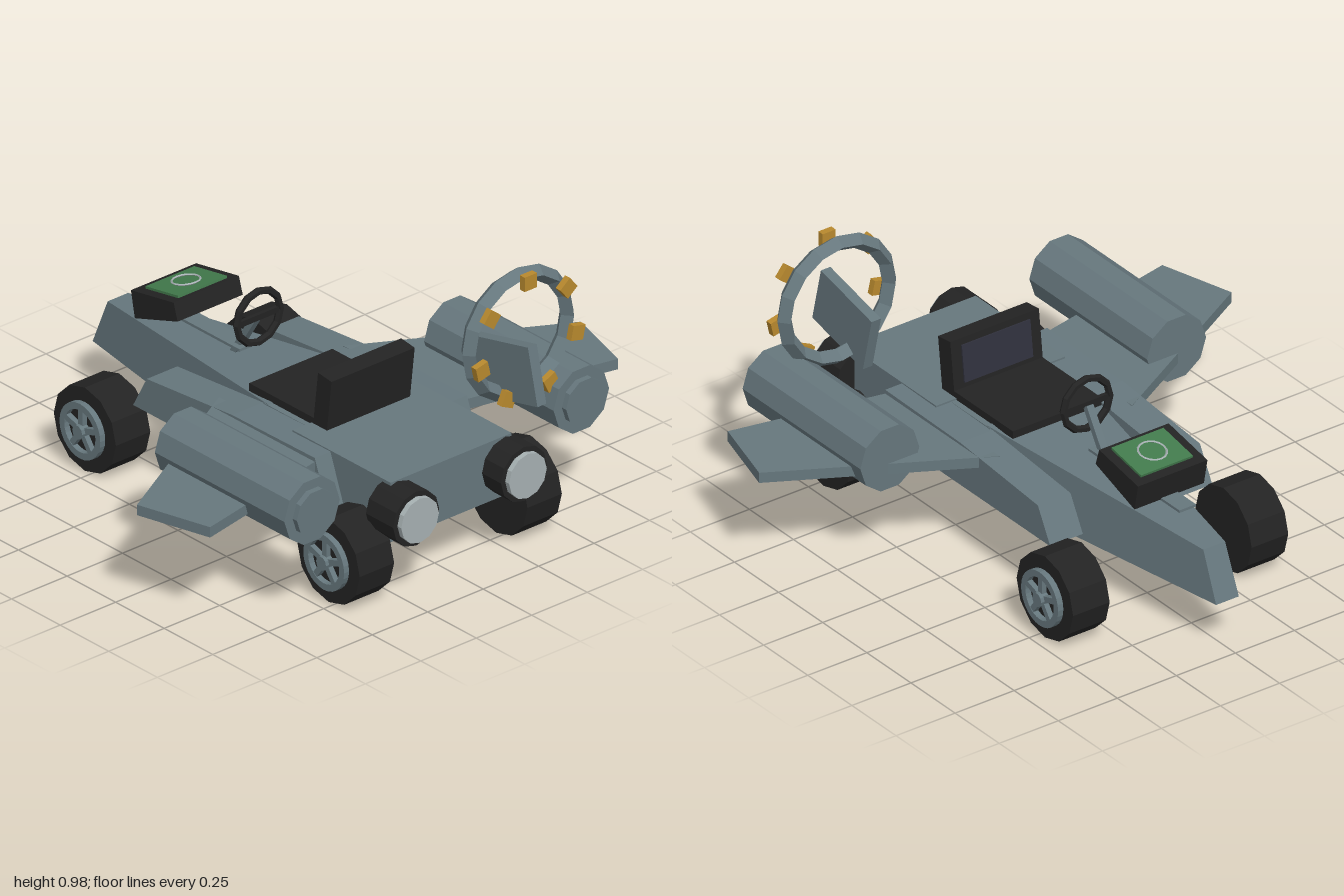
import * as THREE from 'three';

const mat = (name, color) => {
  const m = new THREE.MeshStandardMaterial({ color, flatShading: true });
  m.name = name;
  return m;
};

export function createModel() {
  const model = new THREE.Group();
  model.name = 'hoverKart';
  const grey = mat('hullGrey', 0x66777d), black = mat('rubberBlack', 0x232323);
  const gold = mat('brassGold', 0xb8892e), pale = mat('paleGrey', 0xa6b0b2);
  const green = mat('screenGreen', 0x427a4c), slate = mat('seatSlate', 0x30313d);

  const add = (name, geo, material, x = 0, y = 0, z = 0, parent = model) => {
    const m = new THREE.Mesh(geo, material);
    m.name = name;
    m.position.set(x, y, z);
    parent.add(m);
    return m;
  };
  const box = (w, h, d) => new THREE.BoxGeometry(w, h, d);
  const shape = pts => new THREE.Shape(pts.map(p => new THREE.Vector2(...p)));
  // side profile of [z, y] points, extruded across x and centred
  const sideProfile = (pts, w) =>
    new THREE.ExtrudeGeometry(shape(pts), { depth: w, bevelEnabled: false })
      .rotateY(-Math.PI / 2).translate(w / 2, 0, 0);
  const drumZ = (r, len, n) => new THREE.CylinderGeometry(r, r, len, n).rotateX(Math.PI / 2);
  const drumX = (r, len, n) => new THREE.CylinderGeometry(r, r, len, n).rotateZ(Math.PI / 2);

  // tapered nose hull
  const hull = sideProfile([[-0.955, 0.185], [0.2, 0.185], [0.13, 0.435], [-0.88, 0.367]], 2);
  const p = hull.attributes.position;
  for (let i = 0; i < p.count; i++) {
    const half = 0.048 + 0.167 * (p.getZ(i) + 0.955) - 0.08 * (p.getY(i) - 0.185);
    p.setX(i, p.getX(i) * half);
  }
  hull.computeVertexNormals();
  add('noseHull', hull, grey);

  // rear body and deck below the seat
  add('rearBody', box(0.545, 0.228, 0.505), grey, 0, 0.324, 0.583);
  add('seatDeck', box(0.42, 0.17, 0.25), grey, 0, 0.347, 0.235);

  for (const s of [1, -1]) {
    const side = new THREE.Group();
    side.name = s > 0 ? 'leftSide' : 'rightSide';
    model.add(side);

    // side pod and wing
    add('sidePod', sideProfile([[-0.41, 0.262], [0.59, 0.262], [0.525, 0.434], [0.1, 0.428], [-0.34, 0.39]], 0.138),
      grey, s * 0.274, 0, 0, side);
    const wing = new THREE.ExtrudeGeometry(
      shape([[0.28, -0.04], [1, 0.36], [0.92, 0.645], [0.28, 0.512]].map(([x, z]) => [s * x, z])),
      { depth: 0.04, bevelEnabled: false }).rotateX(Math.PI / 2);
    add('wing', wing, grey, 0, 0.419, 0, side);

    // ten-sided nacelle with end cap
    const turn = Math.PI / 2;
    add('nacelle', drumZ(0.125, 0.667, 10).rotateZ(turn), grey, s * 0.607, 0.44, 0.479, side);
    add('nacelleCap', drumZ(0.088, 0.03, 10).rotateZ(turn), grey, s * 0.607, 0.44, 0.82, side);

    // rear thruster
    add('thruster', drumZ(0.104, 0.14, 12), black, s * 0.243, 0.33, 0.863, side);
    add('thrusterLamp', drumZ(0.085, 0.03, 12), pale, s * 0.243, 0.33, 0.938, side);

    // wheels with five-spoke rims
    for (const [name, z] of [['frontWheel', -0.53], ['rearWheel', 0.725]]) {
      const wheel = new THREE.Group();
      wheel.name = name;
      wheel.position.set(s * 0.378, 0.16, z);
      side.add(wheel);
      add('tyre', drumX(0.16, 0.155, 12), black, 0, 0, 0, wheel);
      const ring = new THREE.Shape().absarc(0, 0, 0.105, 0, Math.PI * 2);
      ring.holes.push(new THREE.Path().absarc(0, 0, 0.08, 0, Math.PI * 2));
      const rim = new THREE.ExtrudeGeometry(ring, { depth: 0.024, bevelEnabled: false, curveSegments: 14 })
        .rotateY(Math.PI / 2).translate(-0.012, 0, 0);
      add('rim', rim, grey, s * 0.088, 0, 0, wheel);
      for (let i = 0; i < 5; i++) {
        const spoke = box(0.02, 0.075, 0.022).translate(0, 0.05, 0).rotateX(i * Math.PI * 2 / 5);
        add('spoke', spoke, grey, s * 0.088, 0, 0, wheel);
      }
      add('hub', drumX(0.026, 0.036, 10), grey, s * 0.094, 0, 0, wheel);
    }
  }

  // seat
  add('seatCushion', box(0.375, 0.03, 0.38), black, 0, 0.445, 0.2);
  const back = new THREE.Group();
  back.name = 'seatBack';
  back.position.set(0, 0.44, 0.375);
  back.rotation.x = 0.12;
  model.add(back);
  add('backrest', box(0.375, 0.2, 0.07), black, 0, 0.1, 0, back);
  add('backrestPanel', box(0.29, 0.14, 0.008), slate, 0, 0.105, -0.037, back);

  // steering wheel and column
  add('steeringWheel', new THREE.TorusGeometry(0.098, 0.014, 6, 12), black, 0, 0.583, -0.157);
  add('steeringCrossbar', box(0.19, 0.022, 0.014), black, 0, 0.583, -0.157);
  const column = add('steeringColumn', box(0.028, 0.21, 0.024), grey, 0, 0.49, -0.222);
  column.rotation.x = 0.56;

  // console on a thin rail
  add('consoleRail', box(0.07, 0.01, 0.515), grey, 0, 0.441, -0.472);
  add('console', sideProfile([[-0.645, 0.54], [-0.625, 0.44], [-0.405, 0.515], [-0.425, 0.58]], 0.294), black);
  const screen = new THREE.Group();
  screen.name = 'consoleScreen';
  screen.position.set(0, 0.566, -0.528);
  screen.rotation.x = -0.18;
  model.add(screen);
  add('screenPanel', box(0.22, 0.009, 0.17), green, 0, 0, 0, screen);
  add('screenDial', new THREE.TorusGeometry(0.05, 0.004, 4, 16).rotateX(Math.PI / 2), pale, 0, 0.009, 0, screen);

  // ring gate with seven blocks
  const gate = new THREE.Group();
  gate.name = 'ringGate';
  gate.position.set(0.41, 0.725, 0.71);
  model.add(gate);
  add('gateRing', new THREE.TorusGeometry(0.222, 0.029, 4, 16).scale(1, 1, 1.25), grey, 0, 0, 0, gate);
  for (let i = 0; i < 7; i++) {
    const block = box(0.055, 0.055, 0.025).translate(0, 0.22, 0).rotateZ(i * Math.PI * 2 / 7);
    add('gateBlock', block, gold, 0, 0, 0.055, gate);
  }

  // tilted fin through the ring
  const fin = add('gateFin', box(0.04, 0.215, 0.295), grey, 0.347, 0.617, 0.738);
  fin.rotation.x = -0.23;

  return model;
}
